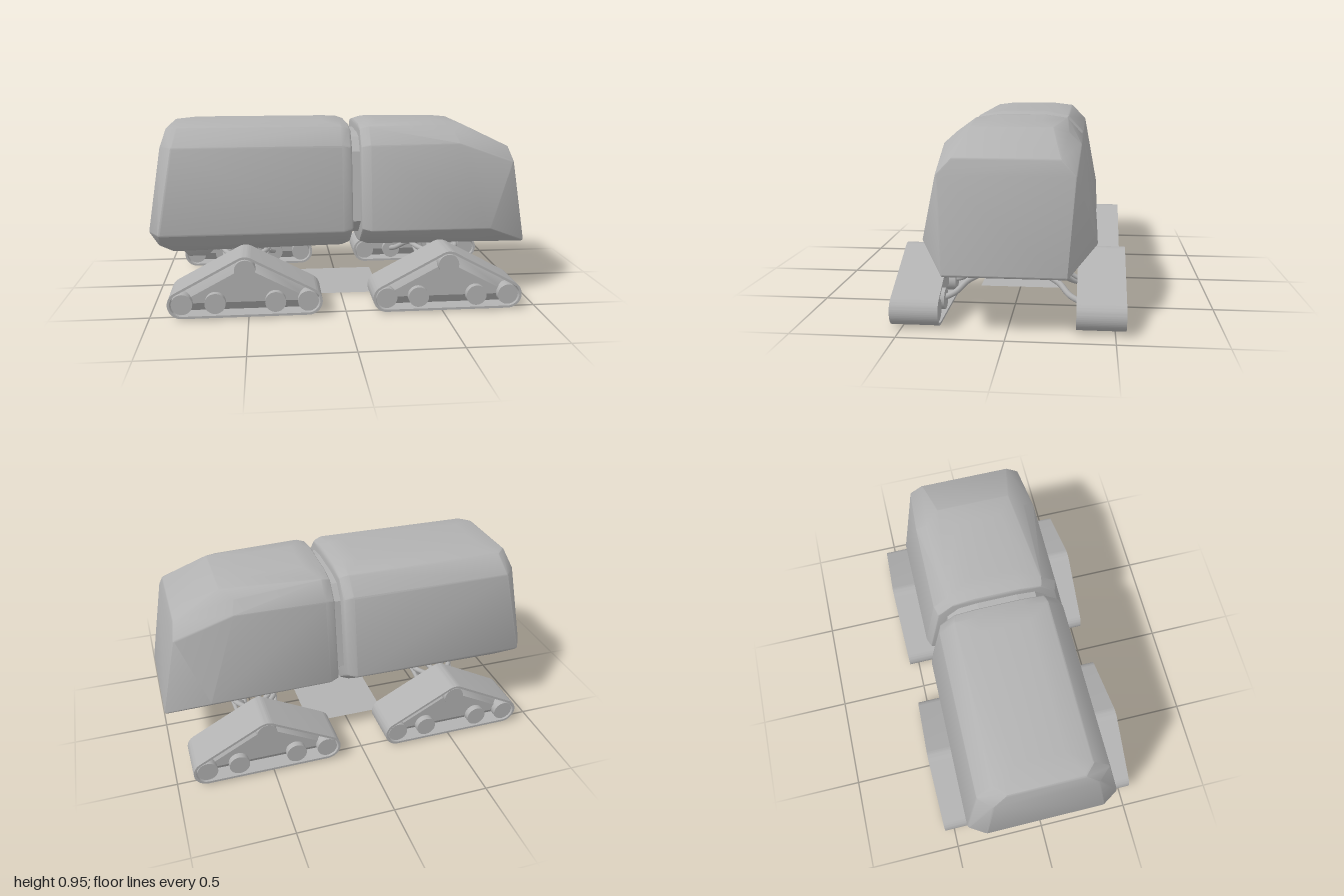
import * as THREE from 'three';
import { toCreasedNormals } from 'three/addons/utils/BufferGeometryUtils.js';
import { ConvexGeometry } from 'three/addons/geometries/ConvexGeometry.js';

const grey = new THREE.MeshStandardMaterial({ color: 0xb2b2b2 });
grey.name = 'grey';
const greySheet = grey.clone();
greySheet.side = THREE.DoubleSide;

function add(parent, name, geometry, material = grey) {
  const mesh = new THREE.Mesh(geometry, material);
  mesh.name = name;
  parent.add(mesh);
  return mesh;
}

// Convex body with rounded edges: a small ball at each corner, mirrored in z
function roundedHull(corners, center, r) {
  const ball = new THREE.IcosahedronGeometry(r, 1).getAttribute('position');
  const seen = new Map();
  for (const [x, y, z] of corners) {
    for (const s of [1, -1]) {
      const c = new THREE.Vector3(x, y, z * s);
      const inward = center.clone().sub(c);
      inward.x = Math.sign(inward.x) * Math.min(Math.abs(inward.x), 0.3);
      c.addScaledVector(inward.normalize(), r);
      for (let i = 0; i < ball.count; i++) {
        const p = new THREE.Vector3().fromBufferAttribute(ball, i).add(c);
        seen.set(p.toArray().map((v) => v.toFixed(4)).join(), p);
      }
    }
  }
  return toCreasedNormals(new ConvexGeometry([...seen.values()]), 0.5);
}

// Half cross-section of the cabins, as [z, y]
const section = [[0.14, 0.272], [0.27, 0.297], [0.41, 0.4], [0.33, 0.84], [0.25, 0.927], [0.13, 0.945]];
const sectionAt = (x, inset = 0) => section.map(([z, y]) =>
  [x, 0.61 + (y - 0.61) * (1 - inset), z * (1 - inset)]);

// Thin panel lying on the sloping cabin side, outline in [x, y]
function sidePanel(parent, name, outline) {
  for (const s of [1, -1]) {
    const shape = new THREE.Shape();
    shape.splineThru;
    outline.forEach(([x, y], i) => (i ? shape.lineTo(x, y) : shape.moveTo(x, y)));
    const g = new THREE.ExtrudeGeometry(shape, {
      depth: 0.004, bevelEnabled: true, bevelSize: 0.012, bevelThickness: 0.005, bevelSegments: 2,
    });
    const pos = g.getAttribute('position');
    for (let i = 0; i < pos.count; i++) {
      pos.setZ(i, pos.getZ(i) + 0.402 - (pos.getY(i) - 0.4) * 0.182);
    }
    if (s < 0) {
      // turn about y, then flip x back by mirroring the corners
      for (let i = 0; i < pos.count; i++) pos.setZ(i, -pos.getZ(i));
      for (let i = 0; i < pos.count; i += 3) {
        const a = new THREE.Vector3().fromBufferAttribute(pos, i + 1);
        const b = new THREE.Vector3().fromBufferAttribute(pos, i + 2);
        pos.setXYZ(i + 1, b.x, b.y, b.z);
        pos.setXYZ(i + 2, a.x, a.y, a.z);
      }
    }
    add(parent, name, toCreasedNormals(g, 0.7));
  }
}

// Outline of three equal wheels wrapped by a belt
const WHEEL = { dx: 0.318, low: 0.08, high: 0.25 };
function trackPath(r, target) {
  const tilt = Math.atan2(WHEEL.high - WHEEL.low, WHEEL.dx);
  const up = Math.PI / 2;
  target.absarc(-WHEEL.dx, WHEEL.low, r, up + tilt, 3 * up, false);
  target.absarc(WHEEL.dx, WHEEL.low, r, -up, up - tilt, false);
  target.absarc(0, WHEEL.high, r, up - tilt, up + tilt, false);
  target.closePath();
  return target;
}

function buildTrack() {
  const track = new THREE.Group();
  const width = 0.23;
  const belt = trackPath(0.072, new THREE.Shape());
  belt.holes.push(trackPath(0.06, new THREE.Path()));
  const beltGeo = new THREE.ExtrudeGeometry(belt, { depth: width, bevelEnabled: false, curveSegments: 20 });
  add(track, 'trackBelt', toCreasedNormals(beltGeo.translate(0, 0, -width / 2), 0.6));

  // Recessed core with sloping sides
  const core = new THREE.ExtrudeGeometry(trackPath(0.005, new THREE.Shape()), {
    depth: 0.06, bevelEnabled: true, bevelSize: 0.053, bevelThickness: 0.045, bevelSegments: 1,
  });
  add(track, 'trackCore', toCreasedNormals(core.translate(0, 0, -0.03), 0.6));

  const wheels = [[0, WHEEL.high], ...[-0.318, -0.152, 0.152, 0.318].map((x) => [x, WHEEL.low])];
  for (const [x, y] of wheels) {
    const wheel = add(track, 'roadWheel', new THREE.CylinderGeometry(0.053, 0.053, width - 0.012, 32));
    wheel.rotation.x = Math.PI / 2;
    wheel.position.set(x, y, 0);
  }
  return track;
}

function tube(parent, name, points, r) {
  const curve = new THREE.CatmullRomCurve3(points.map((p) => new THREE.Vector3(...p)));
  add(parent, name, new THREE.TubeGeometry(curve, 20, r, 10), greySheet);
}

// Branching suspension frame, mirrored in x and z
function buildSuspension() {
  const frame = new THREE.Group();
  for (const x of [-1, 1]) {
    tube(frame, 'crossBeam', [[x * 0.05, 0.172, -0.2], [x * 0.03, 0.172, 0], [x * 0.05, 0.172, 0.2]], 0.015);
    tube(frame, 'upperBeam', [[x * 0.12, 0.26, -0.2], [x * 0.12, 0.264, 0], [x * 0.12, 0.26, 0.2]], 0.013);
    for (const z of [-1, 1]) {
      tube(frame, 'lowerArm', [[x * 0.05, 0.172, z * 0.18], [x * 0.08, 0.15, z * 0.23],
        [x * 0.13, 0.105, z * 0.285], [x * 0.16, 0.08, z * 0.35]], 0.015);
      tube(frame, 'upperArm', [[x * 0.12, 0.26, z * 0.18], [x * 0.1, 0.26, z * 0.25],
        [x * 0.05, 0.25, z * 0.31], [x * 0.03, 0.245, z * 0.37]], 0.014);
      tube(frame, 'braceArm', [[x * 0.12, 0.262, z * 0.18], [x * 0.11, 0.235, z * 0.25],
        [x * 0.1, 0.195, z * 0.31], [x * 0.1, 0.17, z * 0.36]], 0.011);
      tube(frame, 'post', [[x * 0.05, 0.172, z * 0.19], [x * 0.07, 0.215, z * 0.195], [x * 0.12, 0.262, z * 0.19]], 0.015);
    }
    tube(frame, 'centerPost', [[x * 0.03, 0.172, 0], [x * 0.05, 0.22, 0], [x * 0.12, 0.264, 0]], 0.016);
  }
  for (const z of [-0.12, 0.12]) {
    const bar = add(frame, 'mountBar', new THREE.CapsuleGeometry(0.016, 0.33, 4, 10));
    bar.rotation.z = Math.PI / 2;
    bar.position.set(0, 0.263, z);
  }
  return frame;
}

export function createModel() {
  const model = new THREE.Group();
  model.name = 'trackedCarrier';

  // Front cabin with a sloping, tapered nose
  add(model, 'frontCabin', roundedHull([
    ...sectionAt(0.1, 0.04), ...sectionAt(0.14, 0.005),
    [0.2, 0.945, 0.13], [0.54, 0.945, 0.13], [0.66, 0.927, 0.2], [0.6, 0.9, 0.27], [0.62, 0.845, 0.33],
    [0.9, 0.81, 0.25], [0.915, 0.74, 0.315], [0.78, 0.4, 0.41],
    [0.78, 0.295, 0.27], [1, 0.295, 0.28], [0.8, 0.275, 0.14],
  ], new THREE.Vector3(0.5, 0.6, 0), 0.012));

  // Rear cabin with a leaning back
  add(model, 'rearCabin', roundedHull([
    ...sectionAt(0.042, 0.04), ...sectionAt(0.005, 0.005),
    [-0.08, 0.945, 0.13], [-0.79, 0.945, 0.13], [-0.86, 0.925, 0.25], [-0.88, 0.84, 0.33],
    [-0.91, 0.925, 0.2], [-0.935, 0.84, 0.27], [-1, 0.4, 0.33], [-0.95, 0.4, 0.41],
    [-0.97, 0.31, 0.25], [-0.9, 0.285, 0.27], [-0.86, 0.275, 0.14],
  ], new THREE.Vector3(-0.45, 0.6, 0), 0.018));

  // Shallow side panels
  sidePanel(model, 'rearSidePanel', [[-0.59, 0.43], [-0.33, 0.43], [-0.33, 0.66], [-0.25, 0.8], [-0.66, 0.8], [-0.59, 0.68]]);
  sidePanel(model, 'frontSidePanel', [[0.16, 0.43], [0.4, 0.43], [0.4, 0.7], [0.33, 0.8], [0.16, 0.8]]);

  // Joint between the cabins
  add(model, 'cabinJoint', new ConvexGeometry([0.02, 0.12].flatMap((x) =>
    sectionAt(x, 0.18).flatMap(([px, y, z]) => [1, -1].map((s) => new THREE.Vector3(px, y, z * s))))));

  // Pod under the tail
  add(model, 'tailPod', roundedHull([
    [-0.89, 0.3, 0.17], [-0.66, 0.3, 0.17], [-0.83, 0.215, 0.13], [-0.73, 0.215, 0.13], [-0.7, 0.25, 0.15],
  ], new THREE.Vector3(-0.78, 0.26, 0), 0.012));

  // Four track units on two suspension frames
  for (const x of [-0.515, 0.525]) {
    const frame = buildSuspension();
    frame.name = 'suspension';
    frame.position.x = x;
    model.add(frame);
    for (const z of [-0.435, 0.435]) {
      const track = buildTrack();
      track.name = 'trackUnit';
      track.position.set(x, 0, z);
      model.add(track);
    }
  }

  // Flat plate at ground level
  add(model, 'groundPlate', new THREE.PlaneGeometry(0.44, 0.44).rotateX(-Math.PI / 2), greySheet);

  return model;
}
